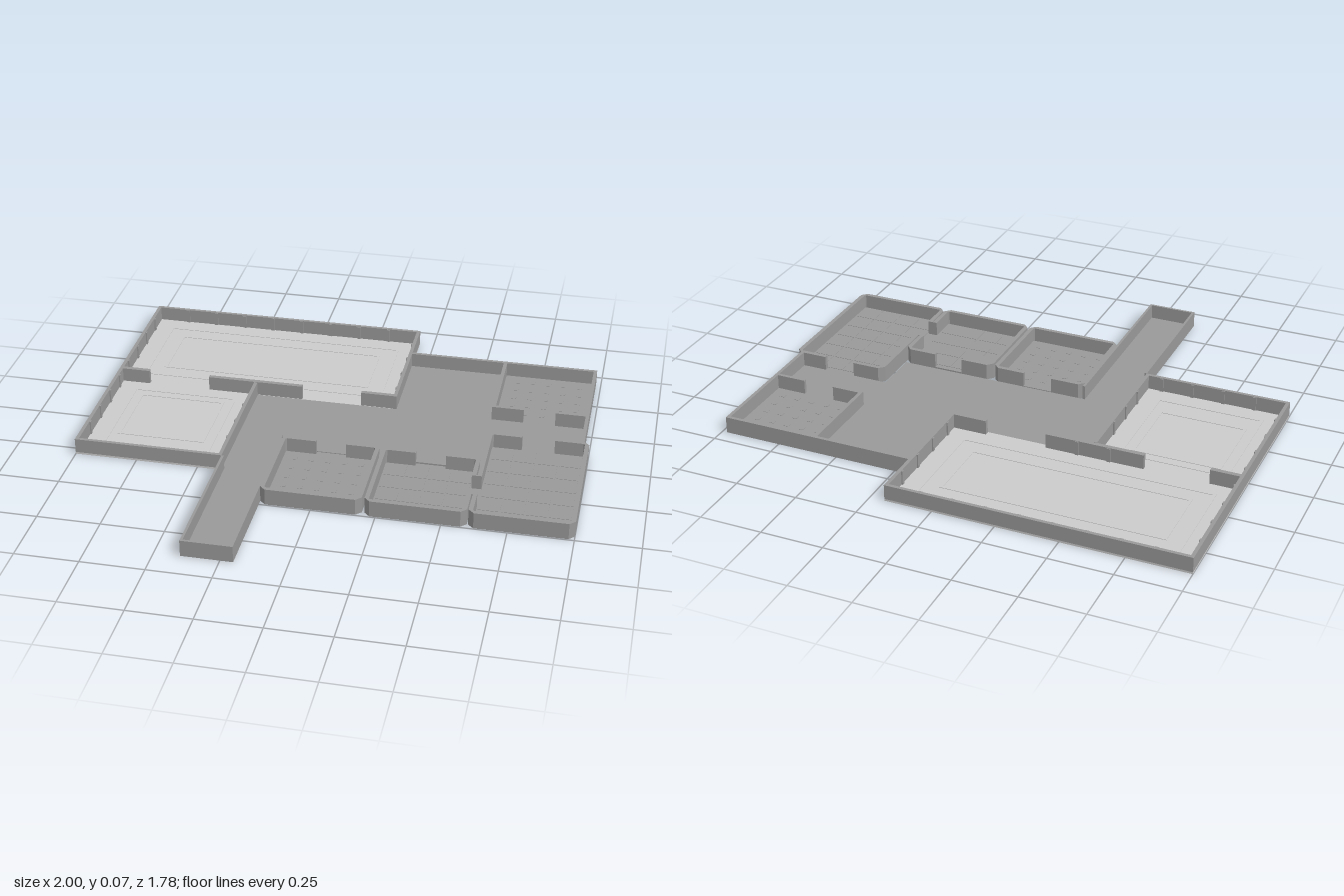
import * as THREE from 'three';

const H = 0.067;   // wall top
const F = 0.008;   // floor thickness
const T = 0.014;   // wall thickness
const C = 0.022;   // corner chamfer

export function createModel() {
  const root = new THREE.Group();
  const light = new THREE.MeshStandardMaterial({ color: 0xcccccc, flatShading: true });
  const dark = new THREE.MeshStandardMaterial({ color: 0x999999, flatShading: true });

  const group = (name) => {
    const g = new THREE.Group();
    g.name = name;
    root.add(g);
    return g;
  };

  // Box given by its plan rectangle and height range
  function box(parent, name, x0, z0, x1, z1, y0, y1, mat = dark) {
    const m = new THREE.Mesh(new THREE.BoxGeometry(x1 - x0, y1 - y0, z1 - z0), mat);
    m.position.set((x0 + x1) / 2, (y0 + y1) / 2, (z0 + z1) / 2);
    m.name = name;
    parent.add(m);
  }

  // Plan polygon [x, z] raised from y0 to y1
  function prism(parent, name, pts, y0, y1, mat = dark) {
    const shape = new THREE.Shape(pts.map(([x, z]) => new THREE.Vector2(x, -z)));
    const geo = new THREE.ExtrudeGeometry(shape, { depth: y1 - y0, bevelEnabled: false });
    geo.rotateX(-Math.PI / 2);
    const m = new THREE.Mesh(geo, mat);
    m.position.y = y0;
    m.name = name;
    parent.add(m);
  }

  const wall = (g, x0, z0, x1, z1) => box(g, 'wall', x0, z0, x1, z1, F, H);

  // Thin rectangular inlay line on a floor
  function frame(g, x0, z0, x1, z1, w) {
    const y = F + 0.002;
    box(g, 'floorInlay', x0, z0, x1, z0 + w, F, y, light);
    box(g, 'floorInlay', x0, z1 - w, x1, z1, F, y, light);
    box(g, 'floorInlay', x0, z0 + w, x0 + w, z1 - w, F, y, light);
    box(g, 'floorInlay', x1 - w, z0 + w, x1, z1 - w, F, y, light);
  }

  // Large L-shaped hall with a pale floor
  const great = group('greatHall');
  prism(great, 'paleFloor',
    [[-1, -0.89], [0.19, -0.89], [0.19, -0.3], [-0.4, -0.3], [-0.4, 0.29], [-1, 0.29]], 0, F, light);
  wall(great, -1, -0.89, 0.19, -0.89 + T);
  wall(great, -1, -0.89 + T, -1 + T, 0.29 - T);
  wall(great, 0.19 - T, -0.89 + T, 0.19, -0.3);
  wall(great, -1, 0.29 - T, -0.4, 0.29);
  wall(great, -0.4 - T, -0.3, -0.4, 0.29 - T);
  for (const [a, b] of [[-1 + T, -0.87], [-0.61, -0.21], [0.04, 0.19 - T]])
    wall(great, a, -0.32, b, -0.302);
  frame(great, -0.92, -0.81, 0.11, -0.38, 0.012);
  frame(great, -0.85, -0.74, 0.04, -0.45, 0.012);
  frame(great, -0.92, -0.25, -0.48, 0.21, 0.012);
  frame(great, -0.88, -0.21, -0.52, 0.12, 0.012);

  // Small pilasters along the pale hall walls
  const p = 0.007, q = 0.005;
  const pilaster = (x0, z0, x1, z1) => box(great, 'pilaster', x0, z0, x1, z1, F, H - 0.002);
  for (let i = 0; i < 8; i++) {
    const x = -0.86 + i * 0.13;
    pilaster(x - p, -0.89 + T, x + p, -0.89 + T + q);
    if (x < -0.45) pilaster(x - p, 0.29 - T - q, x + p, 0.29 - T);
    if (x > -0.6 && x < -0.23) pilaster(x - p, -0.32 - q, x + p, -0.32);
    const z = -0.77 + i * 0.13;
    pilaster(-1 + T, z - p, -1 + T + q, z + p);
    if (z < -0.35) pilaster(0.19 - T - q, z - p, 0.19 - T, z + p);
    if (z > -0.25) pilaster(-0.4 - T - q, z - p, -0.4 - T, z + p);
  }

  // Central hall and long entrance corridor
  const hall = group('centralHall');
  prism(hall, 'hallFloor', [[-0.4, -0.3], [0.19, -0.3], [0.19, -0.69], [0.98, -0.69], [0.98, -0.1],
    [0.59, -0.1], [0.59, 0.09], [-0.2, 0.09], [-0.2, 0.89], [-0.4, 0.89]], 0, F);
  wall(hall, 0.19, -0.69, 0.98, -0.69 + T);
  wall(hall, 0.98 - T, -0.69 + T, 0.98, -0.1);
  wall(hall, -0.4, 0.29, -0.4 + 0.01, 0.89);
  wall(hall, -0.21, 0.09, -0.2, 0.89);
  wall(hall, -0.39, 0.88, -0.21, 0.89);

  // Back corner room
  const back = group('backRoom');
  wall(back, 0.585, -0.69 + T, 0.6, -0.312);
  wall(back, 0.585, -0.312, 0.715, -0.298);
  wall(back, 0.845, -0.312, 0.98 - T, -0.298);

  // Small floor studs in a grid
  function studs(g, x0, z0, x1, z1, n) {
    for (let i = 0; i < n; i++) for (let j = 0; j < n; j++) {
      const x = x0 + (x1 - x0) * (i + 0.5) / n, z = z0 + (z1 - z0) * (j + 0.5) / n;
      box(g, 'floorStud', x - 0.01, z - 0.01, x + 0.01, z + 0.01, F, F + 0.0015);
    }
  }
  studs(back, 0.62, -0.66, 0.95, -0.33, 5);

  // Raised floor tiles in a grid
  function tiles(g, x0, z0, x1, z1, nx, nz) {
    const w = (x1 - x0) / nx, d = (z1 - z0) / nz, gap = 0.003;
    for (let i = 0; i < nx; i++) for (let j = 0; j < nz; j++)
      box(g, 'floorTile', x0 + i * w + gap, z0 + j * d + gap,
        x0 + (i + 1) * w - gap, z0 + (j + 1) * d - gap, F, F + 0.0015);
  }

  // Free-standing room with chamfered corners; each side may have a doorway [from, to]
  function room(name, x0, z0, x1, z1, doors) {
    const g = group(name), t = 0.017;
    prism(g, 'roomFloor', [[x0 + C, z0], [x1 - C, z0], [x1, z0 + C], [x1, z1 - C],
      [x1 - C, z1], [x0 + C, z1], [x0, z1 - C], [x0, z0 + C]], 0, F);
    for (const [cx, sx] of [[x0, 1], [x1, -1]]) for (const [cz, sz] of [[z0, 1], [z1, -1]])
      prism(g, 'cornerWall', [[C, 0], [0, C], [t, C], [C, t]]
        .map(([a, b]) => [cx + sx * a, cz + sz * b]), F, H);
    const spans = (a, b, door) => (door ? [[a, door[0]], [door[1], b]] : [[a, b]]);
    for (const [a, b] of spans(x0 + C, x1 - C, doors.back)) wall(g, a, z0, b, z0 + t);
    for (const [a, b] of spans(x0 + C, x1 - C, doors.front)) wall(g, a, z1 - t, b, z1);
    for (const [a, b] of spans(z0 + C, z1 - C, doors.right)) wall(g, x0, a, x0 + t, b);
    for (const [a, b] of spans(z0 + C, z1 - C, doors.left)) wall(g, x1 - t, a, x1, b);
    return g;
  }

  const first = room('firstRoom', -0.2, 0.095, 0.195, 0.495, { back: [-0.06, 0.06] });
  studs(first, -0.17, 0.125, 0.165, 0.465, 5);
  const second = room('secondRoom', 0.205, 0.1, 0.595, 0.495, { back: [0.34, 0.46], left: [0.235, 0.36] });
  tiles(second, 0.225, 0.12, 0.575, 0.475, 4, 4);
  const third = room('thirdRoom', 0.6, -0.1, 1, 0.495, { back: [0.735, 0.865], right: [0.235, 0.36] });
  tiles(third, 0.62, -0.08, 0.98, 0.475, 4, 6);

  // Passage linking the second and third rooms
  const link = group('passage');
  box(link, 'threshold', 0.595, 0.235, 0.6, 0.36, 0, F);
  for (const z of [0.229, 0.36]) box(link, 'doorJamb', 0.595, z, 0.6, z + 0.006, 0, H);

  return root;
}
